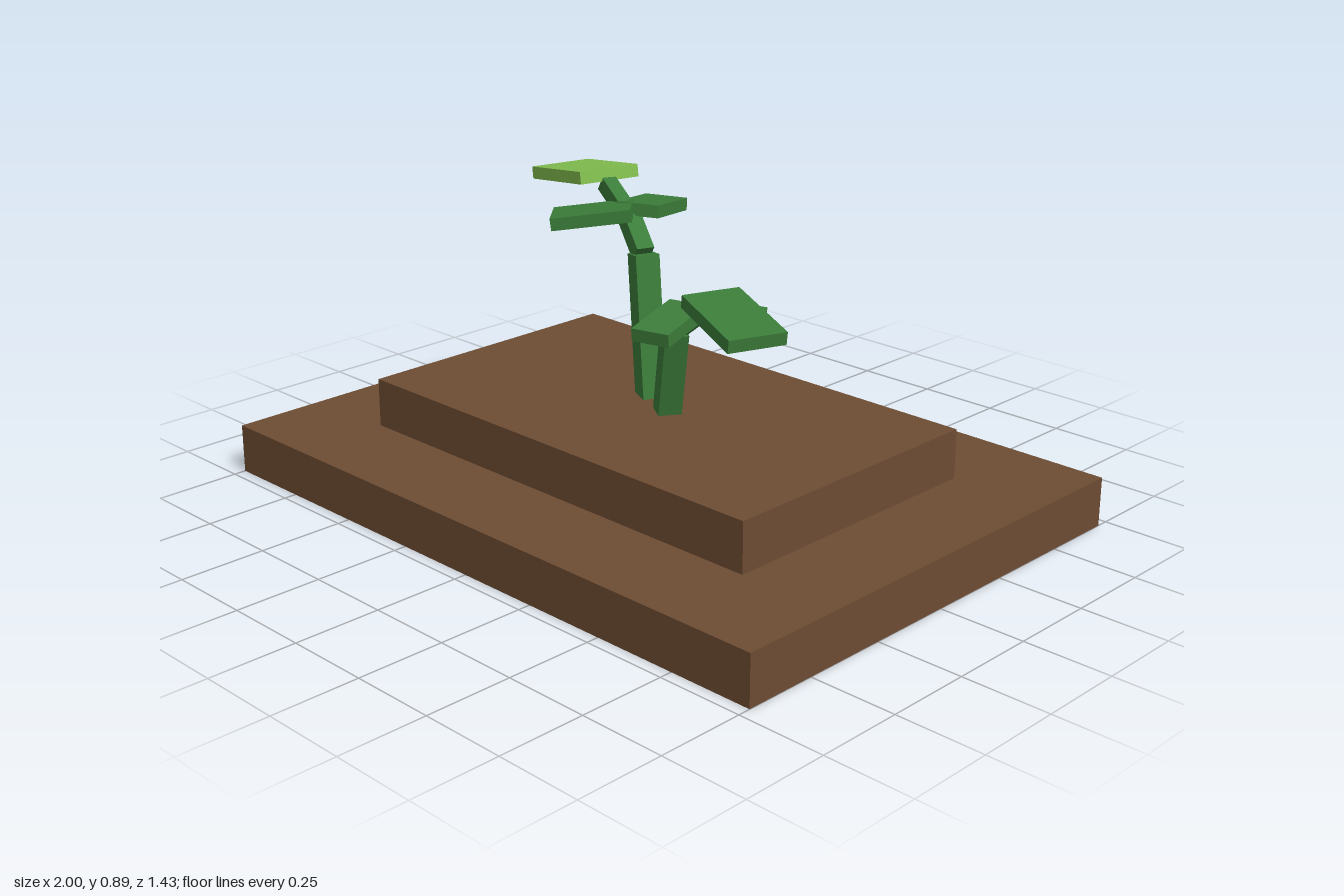
import * as THREE from 'three';

export function createModel() {
  const soil = new THREE.MeshStandardMaterial({ name: 'soil brown', color: 0x6d4c33 });
  const green = new THREE.MeshStandardMaterial({ name: 'plant green', color: 0x3c7d3a });
  const lime = new THREE.MeshStandardMaterial({ name: 'young leaf green', color: 0x84c050 });
  const model = new THREE.Group();
  model.name = 'seedlings';

  function slab(name, w, h, d, y) {
    const mesh = new THREE.Mesh(new THREE.BoxGeometry(w, h, d), soil);
    mesh.name = name;
    mesh.position.y = y + h / 2;
    model.add(mesh);
  }

  // A bar running from one point to another, its width kept level
  function bar(group, name, from, to, width, thickness, material) {
    const a = new THREE.Vector3(...from), b = new THREE.Vector3(...to);
    const mesh = new THREE.Mesh(new THREE.BoxGeometry(width, thickness, a.distanceTo(b)), material);
    mesh.name = name;
    mesh.position.copy(a).add(b).multiplyScalar(0.5);
    mesh.lookAt(b);
    group.add(mesh);
  }

  // Stem of three segments, then leaves given as [from, to, width, material]
  function plant(name, joints, widths, leaves) {
    const group = new THREE.Group();
    group.name = name;
    widths.forEach((w, i) => bar(group, i ? 'branch' : 'stem', joints[i], joints[i + 1], w, w, green));
    leaves.forEach(([from, to, w, material]) => bar(group, 'leaf', from, to, w, 0.036, material));
    model.add(group);
  }

  // Stepped ground
  slab('lowerSoil', 2, 0.143, 1.428, 0);
  slab('upperSoil', 1.428, 0.143, 0.856, 0.143);

  plant('tallSeedling',
    [[-0.063, 0.28, -0.036], [-0.118, 0.685, -0.062], [-0.215, 0.77, -0.1], [-0.325, 0.842, -0.12]],
    [0.07, 0.052, 0.044],
    [
      [[-0.313, 0.868, -0.12], [-0.599, 0.821, -0.195], 0.188, lime],
      [[-0.18, 0.793, -0.098], [-0.259, 0.764, -0.296], 0.13, green],
      [[-0.185, 0.793, -0.085], [-0.353, 0.764, 0.065], 0.125, green],
    ]);

  plant('shortSeedling',
    [[0.058, 0.28, 0.022], [0.135, 0.553, 0.072], [0.232, 0.62, 0.108], [0.33, 0.67, 0.132]],
    [0.066, 0.048, 0.04],
    [
      [[0.326, 0.702, 0.138], [0.575, 0.66, 0.23], 0.165, green],
      [[0.22, 0.637, 0.085], [0.371, 0.613, -0.024], 0.105, green],
      [[0.212, 0.637, 0.1], [0.262, 0.613, 0.294], 0.11, green],
    ]);

  return model;
}
